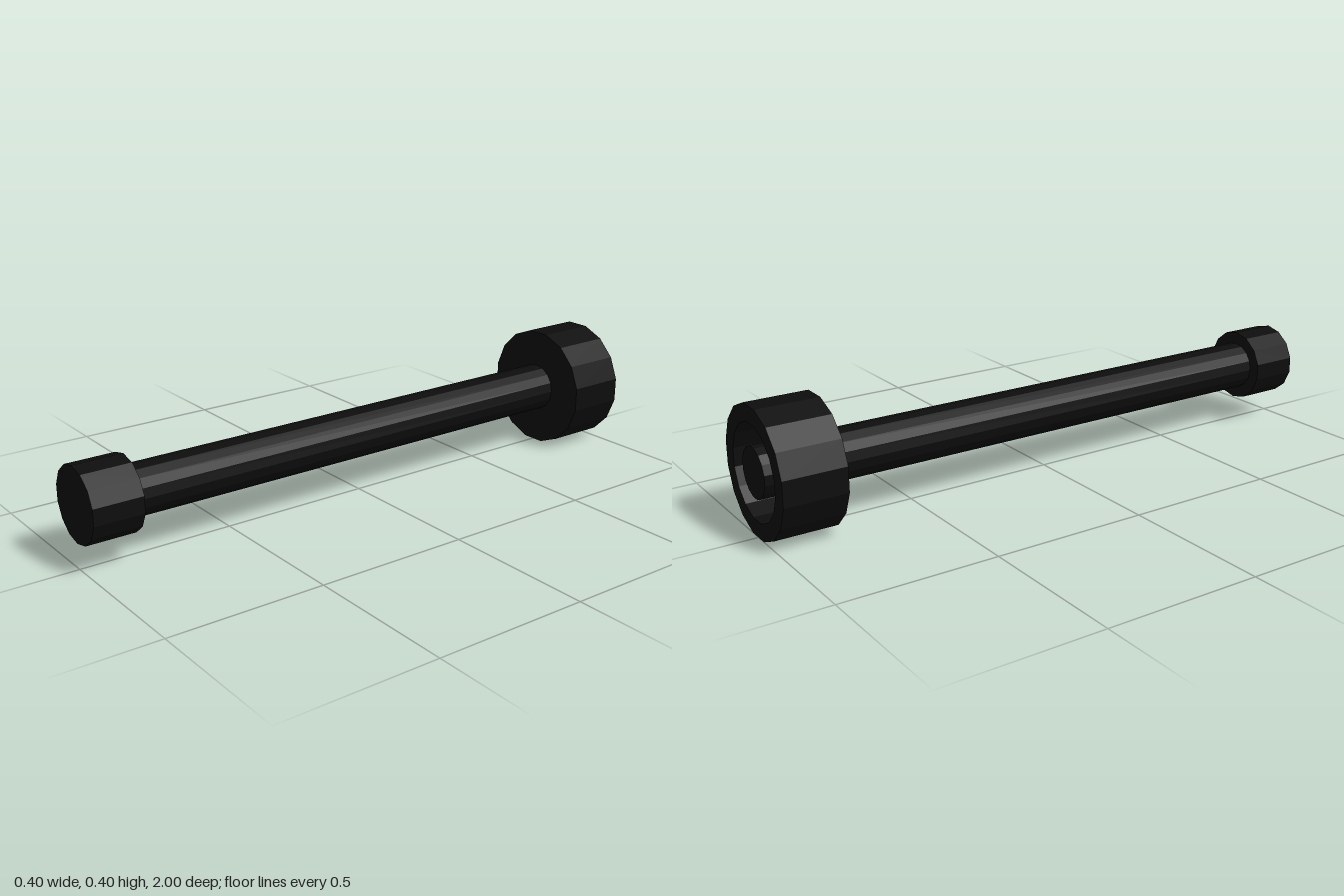
import * as THREE from 'three';

export function createModel() {
  const model = new THREE.Group();
  const black = new THREE.MeshStandardMaterial({ color: 0x0d0d0d, flatShading: true });
  black.name = 'matte black';
  const axisHeight = 0.2;

  // Every part is turned about the long z axis
  const add = (name, geometry, z) => {
    geometry.rotateX(Math.PI / 2);
    const mesh = new THREE.Mesh(geometry, black);
    mesh.name = name;
    mesh.position.set(0, axisHeight, z);
    model.add(mesh);
  };

  // Long rod between the head and the cap
  add('shaft', new THREE.CylinderGeometry(0.08, 0.08, 1.66, 16, 1, true), 0.02);

  // Small closed cap at the front
  add('frontCap', new THREE.CylinderGeometry(0.12, 0.12, 0.16, 14), 0.92);

  // Wide head with a recess around the hub at the back
  const r = 0.2 / Math.cos(Math.PI / 16);
  const profile = [
    [0, -0.1], [0.08, -0.1], [0.08, 0], [0.15, 0],
    [0.15, -0.1], [r, -0.1], [r, 0.1], [0, 0.1],
  ].map(([x, y]) => new THREE.Vector2(x, y));
  add('backHead', new THREE.LatheGeometry(profile, 16, Math.PI / 16), -0.9);

  return model;
}
